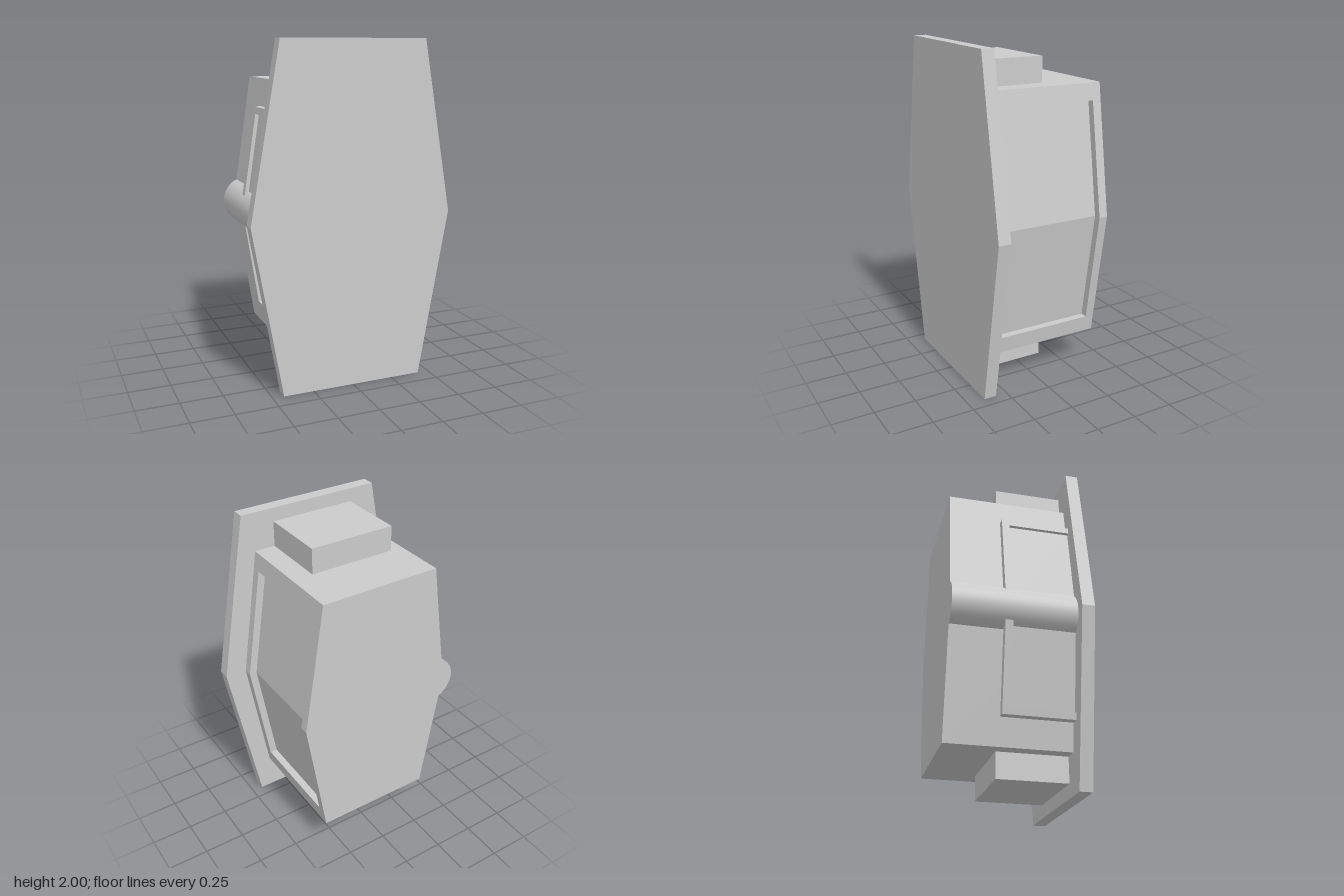
import * as THREE from 'three';

const MID = 1;                 // height of the widest line
const SLOPE = 0.156;           // how fast the sides lean inward
const BACK = -0.395, SEAM = 0.32, FRONT = 0.395;
const material = new THREE.MeshStandardMaterial({ color: 0xcccccc });

function add(parent, name, geometry) {
  const mesh = new THREE.Mesh(geometry, material);
  mesh.name = name;
  parent.add(mesh);
  return mesh;
}

function prism(points, depth) {
  const shape = new THREE.Shape(points.map(([x, y]) => new THREE.Vector2(x, y)));
  return new THREE.ExtrudeGeometry(shape, { depth, bevelEnabled: false });
}

// Layer lying on the leaning upper half of one side; points are [z, height above the middle]
function sideLayer(side, points, inner, outer) {
  const g = prism(points.map(([z, y]) => [-side * z, y]), outer - inner);
  g.rotateY(side * Math.PI / 2);
  const p = g.attributes.position;
  for (let i = 0; i < p.count; i++) {
    p.setX(i, p.getX(i) + side * (inner - SLOPE * p.getY(i)));
  }
  g.computeVertexNormals();
  return g;
}

export function createModel() {
  const model = new THREE.Group();
  model.name = 'hexagonalCase';

  // Front plate
  add(model, 'frontPlate', prism(
    [[-0.432, 0], [0.432, 0], [0.61, 1], [0.432, 2], [-0.432, 2], [-0.61, 1]], FRONT - SEAM
  )).position.z = SEAM;

  // Body, its left side set back to the floor of the recess
  add(model, 'body', prism(
    [[-0.36, 0.23], [0.315, 0.23], [0.435, MID], [0.315, 1.77], [-0.36, 1.77], [-0.48, MID]], SEAM - BACK
  )).position.z = BACK;

  // Half-buried rounded bar along the right side
  const bar = add(model, 'sideBar', new THREE.CylinderGeometry(0.142, 0.142, SEAM - BACK, 40));
  bar.rotation.x = Math.PI / 2;
  bar.position.set(-0.403, MID, (SEAM + BACK) / 2);

  // Upper and lower halves mirror each other about the middle
  for (const up of [1, -1]) {
    const half = new THREE.Group();
    half.name = up > 0 ? 'upperHalf' : 'lowerHalf';
    half.position.y = MID;
    half.scale.y = up;
    model.add(half);

    // Lug on the end of the body
    add(half, 'endLug', new THREE.BoxGeometry(0.515, 0.15, 0.41))
      .position.set(-0.0225, 0.845, 0.115);

    // Rim around the left recess
    add(half, 'recessRim', sideLayer(1, [
      [BACK, 0], [BACK, 0.77], [SEAM, 0.77], [SEAM, 0],
      [0.265, 0], [0.265, 0.67], [-0.342, 0.67], [-0.342, 0],
    ], 0.435, 0.48));

    // Raised panel and its edging on the right side
    add(half, 'sidePanel', sideLayer(-1, [
      [-0.05, 0.06], [SEAM, 0.06], [SEAM, 0.57], [-0.05, 0.57],
    ], 0.47, 0.503));
    add(half, 'panelEdging', sideLayer(-1, [
      [-0.09, 0.06], [-0.045, 0.06], [-0.045, 0.57], [SEAM, 0.57], [SEAM, 0.61], [-0.09, 0.61],
    ], 0.47, 0.525));
  }

  return model;
}
